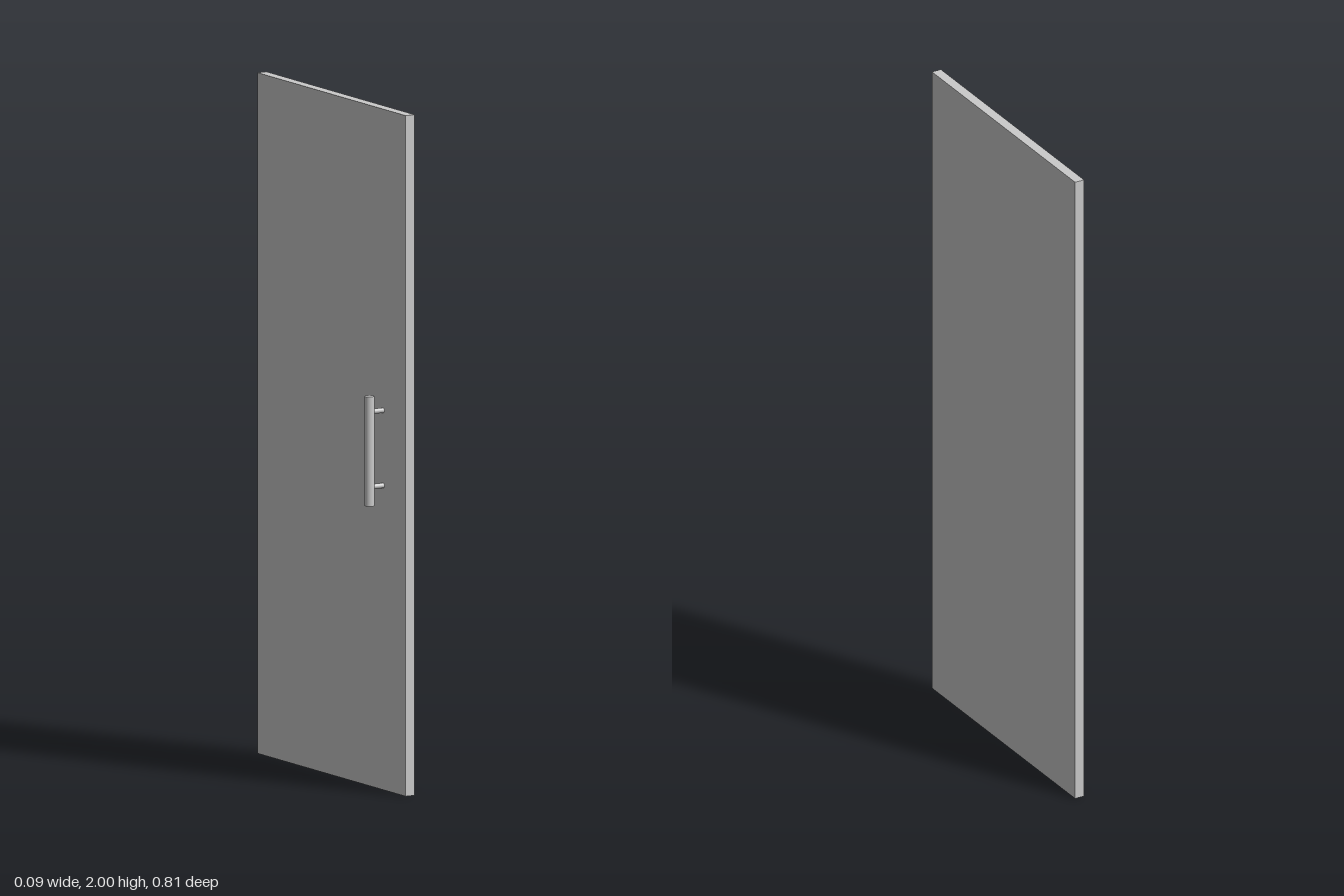
import * as THREE from 'three';

export function createModel() {
  const model = new THREE.Group();
  const material = new THREE.MeshStandardMaterial({ color: 0xcccccc });
  const add = (parent, name, geometry, x, y, z) => {
    const mesh = new THREE.Mesh(geometry, material);
    mesh.name = name;
    mesh.position.set(x, y, z);
    parent.add(mesh);
    return mesh;
  };

  // Flat door slab
  const slabFace = 0.0155;
  const slabThickness = 0.03;
  add(model, 'doorPanel', new THREE.BoxGeometry(slabThickness, 2, 0.815), slabFace + slabThickness / 2, 1, 0);

  // Pull handle: round upright bar carried on two short posts
  const handle = new THREE.Group();
  handle.name = 'pullHandle';
  model.add(handle);
  const barX = -0.031;
  const barZ = 0.283;
  add(handle, 'handleBar', new THREE.CylinderGeometry(0.0145, 0.0145, 0.322, 32), barX, 1, barZ);

  const postLength = slabFace - barX;
  for (const [name, y] of [['upperPost', 1.115], ['lowerPost', 0.894]]) {
    const post = add(handle, name, new THREE.CylinderGeometry(0.0075, 0.0075, postLength, 24), barX + postLength / 2, y, barZ);
    post.rotation.z = Math.PI / 2;
  }

  return model;
}
